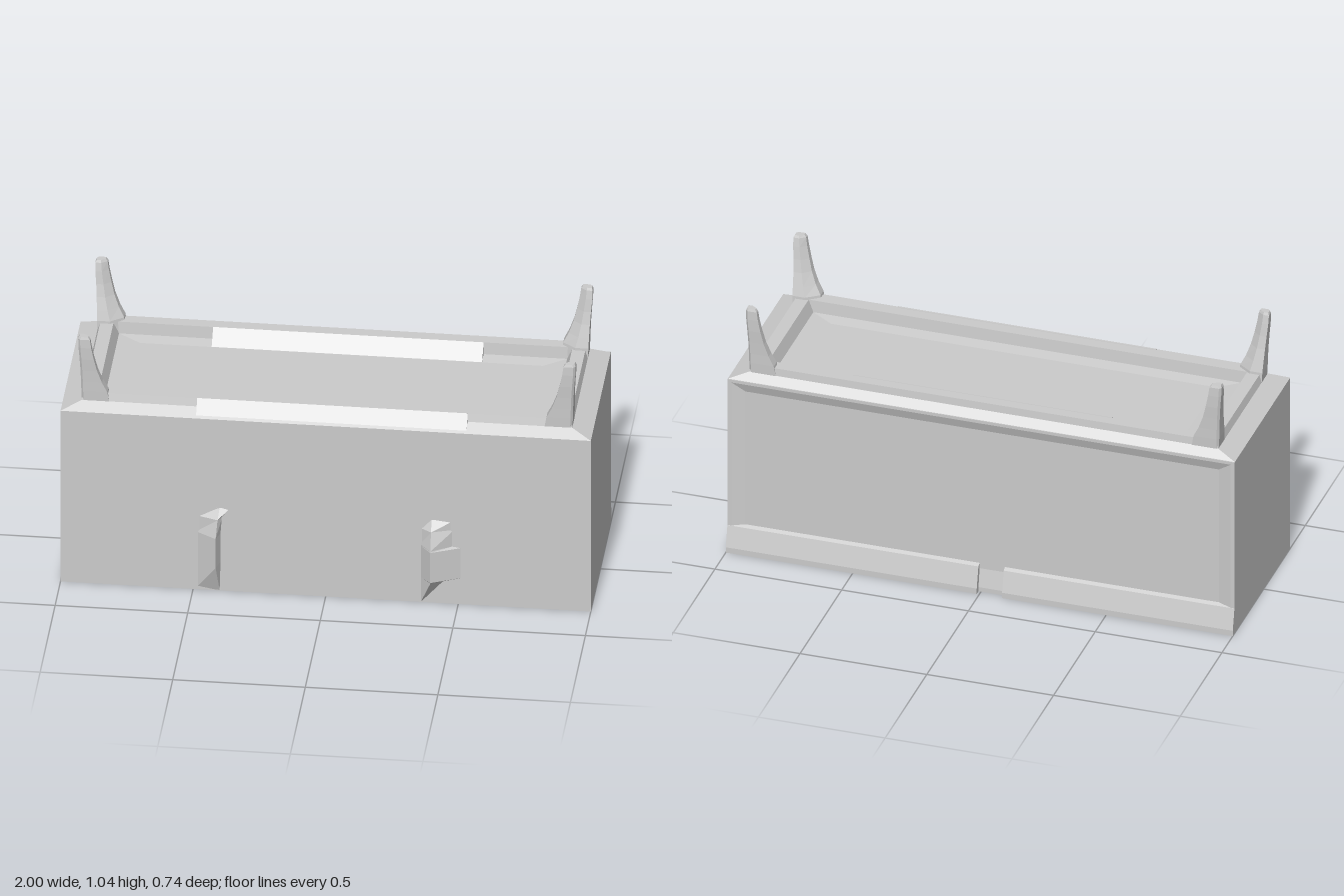
import * as THREE from 'three';

const material = new THREE.MeshStandardMaterial({ color: 0xcccccc, flatShading: true, side: THREE.DoubleSide });

// Skin a series of equal-sized loops; each runs counter-clockwise seen from the far end
function skin(name, loops, capStart = true, capEnd = true) {
  const n = loops[0].length, index = [];
  for (let i = 0; i < loops.length - 1; i++) {
    for (let j = 0; j < n; j++) {
      const k = (j + 1) % n;
      const a = i * n + j, b = i * n + k, c = b + n, d = a + n;
      index.push(a, b, c, a, c, d);
    }
  }
  const last = (loops.length - 1) * n;
  for (let j = 1; j < n - 1; j++) {
    if (capStart) index.push(0, j + 1, j);
    if (capEnd) index.push(last, last + j, last + j + 1);
  }
  const indexed = new THREE.BufferGeometry();
  indexed.setAttribute('position', new THREE.Float32BufferAttribute(loops.flat(2), 3));
  indexed.setIndex(index);
  const geometry = indexed.toNonIndexed();
  geometry.computeVertexNormals();
  const mesh = new THREE.Mesh(geometry, material);
  mesh.name = name;
  return mesh;
}

// Horizontal rectangle at height y
const rect = (y, x, zBack, zFront) => [[x, y, zFront], [x, y, zBack], [-x, y, zBack], [-x, y, zFront]];

// Upright rectangle facing the back
const backRect = (z, x, y0, y1) => [[x, y0, z], [-x, y0, z], [-x, y1, z], [x, y1, z]];

// Straight bar along x with a [z, y] profile
const bar = (name, x0, x1, profile) =>
  skin(name, [x0, x1].map(x => profile.map(([z, y]) => [x, y, z])));

// Tapered leg with chamfered corners, flaring into the frame
function leg(name, sx, sz) {
  const shift = sz < 0 ? 0.038 : 0;
  // height, outer x, inner x, outer z, inner z
  const sections = [
    [0.765, 0.925, 0.82, 0.278, 0.205],
    [0.81, 0.927, 0.828, 0.28, 0.207],
    [0.85, 0.928, 0.848, 0.281, 0.217],
    [0.90, 0.930, 0.866, 0.283, 0.230],
    [0.95, 0.933, 0.878, 0.286, 0.240],
    [1.00, 0.937, 0.888, 0.287, 0.247],
    [1.035, 0.938, 0.893, 0.286, 0.253],
    [1.045, 0.934, 0.900, 0.283, 0.257],
  ];
  const loops = sections.map(([y, xo, xi, zo, zi]) => {
    const c = 0.008;
    const loop = [
      [xo - c, zo], [xo, zo - c], [xo, zi],
      [(xi + xo) / 2, zi], [xi, (zi + zo) / 2], [xi, zo],
    ].map(([x, z]) => [sx * x, y, sz * (z + shift)]);
    return sx * sz < 0 ? loop.reverse() : loop;
  });
  return skin(name, loops);
}

// Ridged pull: rows of [y, left x, ridge x, ridge z, right x]
const handle = (name, rows) => skin(name, rows.map(([y, xl, xm, z, xr]) =>
  [[xl, y, 0.315], [xm, y, z], [xr, y, 0.315]]));

export function createModel() {
  const model = new THREE.Group();

  // Cabinet with bevelled top, raised rail and shallow tray
  model.add(skin('cabinet', [
    rect(0.002, 1, -0.335, 0.32),
    rect(0.74, 1, -0.335, 0.32),
    rect(0.742, 1, -0.345, 0.32),
    rect(0.77, 0.925, -0.315, 0.278),
    rect(0.80, 0.915, -0.312, 0.27),
    rect(0.80, 0.865, -0.265, 0.215),
    rect(0.752, 0.845, -0.26, 0.21),
    rect(0.745, 0.76, -0.21, 0.16),
  ]));

  // Sloped frame around the sunken back panel
  model.add(skin('backFrame', [
    backRect(-0.33, 1, 0.002, 0.742),
    backRect(-0.349, 1, 0.002, 0.742),
    backRect(-0.349, 0.985, 0.02, 0.73),
    backRect(-0.334, 0.93, 0.1, 0.69),
  ], false, false));

  // Lip along the foot of the back, split by a small notch
  const lip = [[-0.33, 0.002], [-0.37, 0.002], [-0.37, 0.025], [-0.35, 0.11], [-0.33, 0.12]];
  model.add(bar('backLipRight', -1, -0.09, lip));
  model.add(bar('backLipLeft', 0.01, 1, lip));

  // Sloped strips in the middle of the long rails
  model.add(bar('frontRailSlope', -0.49, 0.53, [[0.316, 0.74], [0.25, 0.74], [0.262, 0.802], [0.27, 0.802]]));
  model.add(bar('backRailSlope', -0.49, 0.53, [[-0.21, 0.744], [-0.28, 0.744], [-0.27, 0.802], [-0.262, 0.802]]));

  // Legs at the four corners
  for (const [side, sx] of [['Left', 1], ['Right', -1]]) {
    model.add(leg('front' + side + 'Leg', sx, 1));
    model.add(leg('back' + side + 'Leg', sx, -1));
  }

  // Pulls on the front
  model.add(handle('rightHandle', [
    [0.005, -0.49, -0.40, 0.321, -0.36],
    [0.125, -0.49, -0.41, 0.365, -0.395],
    [0.25, -0.49, -0.41, 0.365, -0.395],
    [0.32, -0.49, -0.405, 0.345, -0.39],
    [0.36, -0.49, -0.40, 0.321, -0.36],
  ]));
  model.add(handle('leftHandle', [
    [0.005, 0.355, 0.36, 0.321, 0.46],
    [0.11, 0.355, 0.40, 0.365, 0.46],
    [0.115, 0.355, 0.40, 0.37, 0.52],
    [0.245, 0.355, 0.40, 0.37, 0.52],
    [0.25, 0.355, 0.40, 0.368, 0.485],
    [0.32, 0.355, 0.40, 0.345, 0.485],
    [0.36, 0.355, 0.40, 0.321, 0.485],
  ]));

  return model;
}
